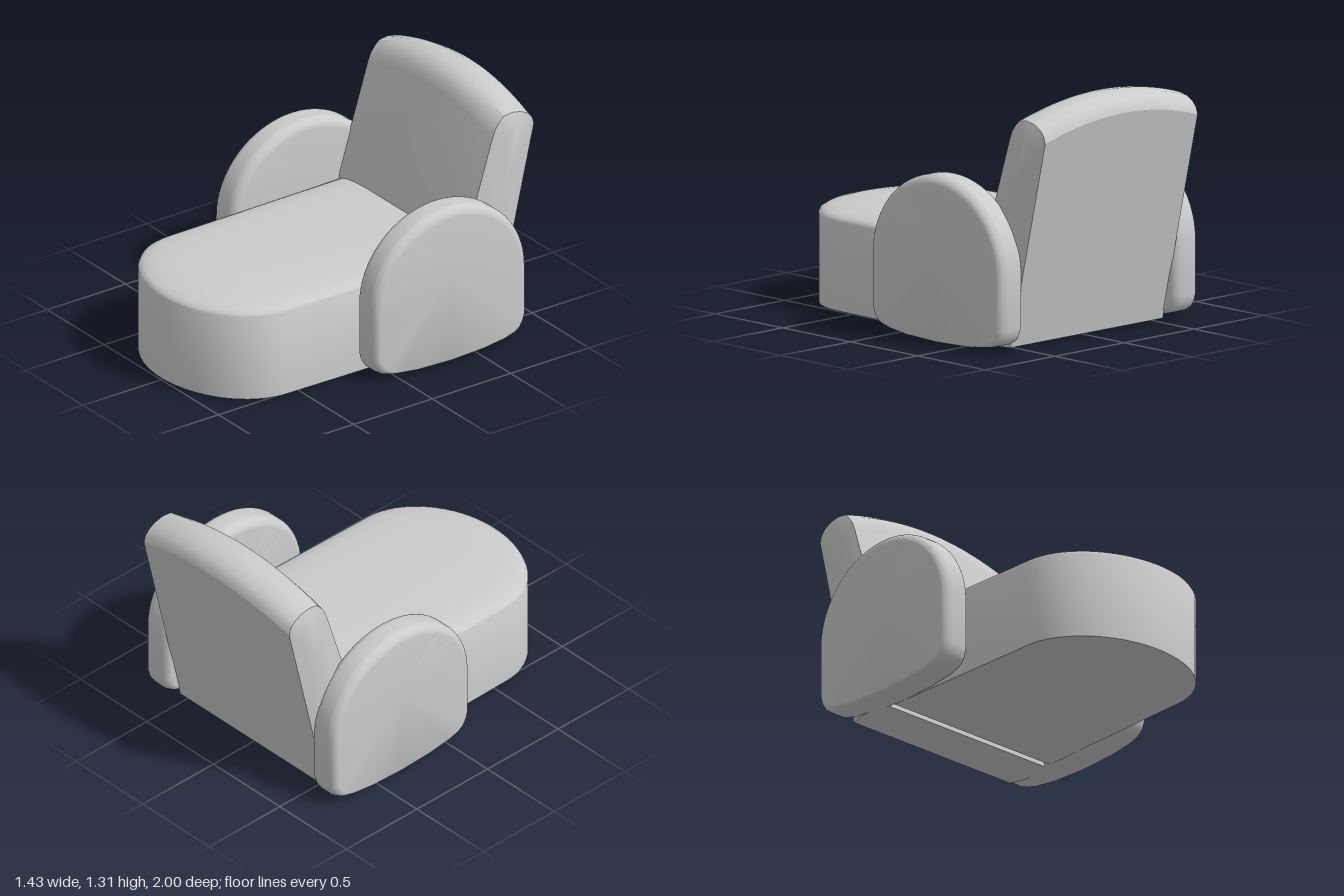
import * as THREE from 'three';
import { toCreasedNormals } from 'three/addons/utils/BufferGeometryUtils.js';

const material = new THREE.MeshStandardMaterial({ color: 0xcccccc });

// Skin a stack of closed convex rings and close both ends; winding is turned outward by signed volume
function loft(rings, crease = 0.6) {
  const n = rings[0].length, pos = [], index = [];
  rings.forEach(r => r.forEach(p => pos.push(...p)));
  for (let i = 0; i < rings.length - 1; i++)
    for (let j = 0; j < n; j++) {
      const a = i * n + j, b = i * n + (j + 1) % n;
      index.push(a, b, b + n, a, b + n, a + n);
    }
  for (const last of [false, true]) {
    const start = last ? (rings.length - 1) * n : 0, c = pos.length / 3;
    const ring = last ? rings.at(-1) : rings[0];
    pos.push(...[0, 1, 2].map(k => ring.reduce((s, p) => s + p[k], 0) / n));
    for (let j = 0; j < n; j++) {
      const a = start + j, b = start + (j + 1) % n;
      index.push(...(last ? [a, b, c] : [b, a, c]));
    }
  }
  const v = i => new THREE.Vector3().fromArray(pos, i * 3);
  let volume = 0;
  for (let i = 0; i < index.length; i += 3)
    volume += v(index[i]).dot(v(index[i + 1]).cross(v(index[i + 2])));
  if (volume < 0) index.reverse();
  const g = new THREE.BufferGeometry();
  g.setAttribute('position', new THREE.Float32BufferAttribute(pos, 3));
  g.setIndex(index);
  return toCreasedNormals(g, crease);
}

// Seat footprint: straight sides, half-ellipse front, back edge leaning with the backrest
function seatRing(y, inset) {
  const back = -0.41 - 0.28 * y, ring = [];
  for (let i = 0; i <= 32; i++) {
    const a = Math.PI * i / 32;
    ring.push([(0.527 - inset) * Math.cos(a), y, 0.58 + (0.42 - inset) * Math.sin(a)]);
  }
  ring.push([-0.543 + inset, y, back], [0.543 - inset, y, back]);
  return ring;
}

// Armrest outline: arched top, upright sides, softly bowed bottom
function armRing(x, inset) {
  const w = 0.4875 - inset * 0.8, top = 0.885 - inset, low = 0.005 + inset * 0.25, zc = -0.3325;
  const ring = [];
  for (let i = 0; i <= 32; i++) {
    const a = Math.PI * i / 32;
    ring.push([x, 0.42 + (top - 0.42) * Math.sin(a), zc + w * Math.cos(a)]);
  }
  const foot = [[0, 0.13], [0.012, 0.09], [0.03, 0.062], [0.06, 0.042], [0.12, 0.025], [0.25, 0.008]];
  foot.forEach(([d, y]) => ring.push([x, low + y, zc - w + d]));
  ring.push([x, low, zc]);
  foot.reverse().forEach(([d, y]) => ring.push([x, low + y, zc + w - d]));
  return ring;
}

// Backrest side profile as [z, y]; the upper points drop towards the sides
const backProfile = [
  [-0.72, 0.015], [-0.45, 0.015], [-0.53, 0.535], [-0.715, 1.2], [-0.735, 1.25], [-0.765, 1.288],
  [-0.81, 1.31], [-0.865, 1.316], [-0.92, 1.305], [-0.965, 1.28], [-0.99, 1.25], [-1.0, 1.215],
];
function backRing(x) {
  const u = Math.min(1, Math.abs(x) / 0.547) ** 2;
  return backProfile.map(([z, y], i) => {
    if (i < 3) return [x, y, z];
    return [x, y - 0.09 * u, z + 0.022 * u - (i < 6 ? 0.02 * u : 0)];
  });
}
// Bulged side panel ring, drawn in towards the middle of the thickness
const bulgeRing = side => backRing(side * 0.547).map(([, y, z]) =>
  [side * 0.574, y > 1 ? y - 0.08 : y, THREE.MathUtils.lerp(z, -0.581 - 0.217 * y, 0.6)]);

export function createModel() {
  const group = new THREE.Group();
  const add = (name, geometry) => {
    const mesh = new THREE.Mesh(geometry, material);
    mesh.name = name;
    group.add(mesh);
  };

  // Long seat with a crowned top
  const crown = [[0.015, 0], [0.485, 0], [0.5, 0.008], [0.512, 0.03], [0.523, 0.075], [0.531, 0.14], [0.535, 0.23]];
  add('seat', loft(crown.map(([y, d]) => seatRing(y, d)), 0.75));

  // Leaning backrest with an arched top
  const stations = [bulgeRing(-1)];
  for (let i = 0; i <= 20; i++) stations.push(backRing(-0.547 + 1.094 * i / 20));
  stations.push(bulgeRing(1));
  add('backrest', loft(stations, 0.5));

  // Armrests with rounded rims
  for (const side of [1, -1]) {
    const rings = [], steps = 8, r = 0.055;
    for (let i = 0; i <= steps; i++) {
      const a = Math.PI / 2 * i / steps;
      rings.push(armRing(side * (0.54 + r * (1 - Math.cos(a))), r * (1 - Math.sin(a))));
    }
    for (let i = steps; i >= 0; i--) {
      const a = Math.PI / 2 * i / steps;
      rings.push(armRing(side * (0.714 - r * (1 - Math.cos(a))), r * (1 - Math.sin(a))));
    }
    add(side > 0 ? 'leftArmrest' : 'rightArmrest', loft(rings));
  }
  return group;
}
